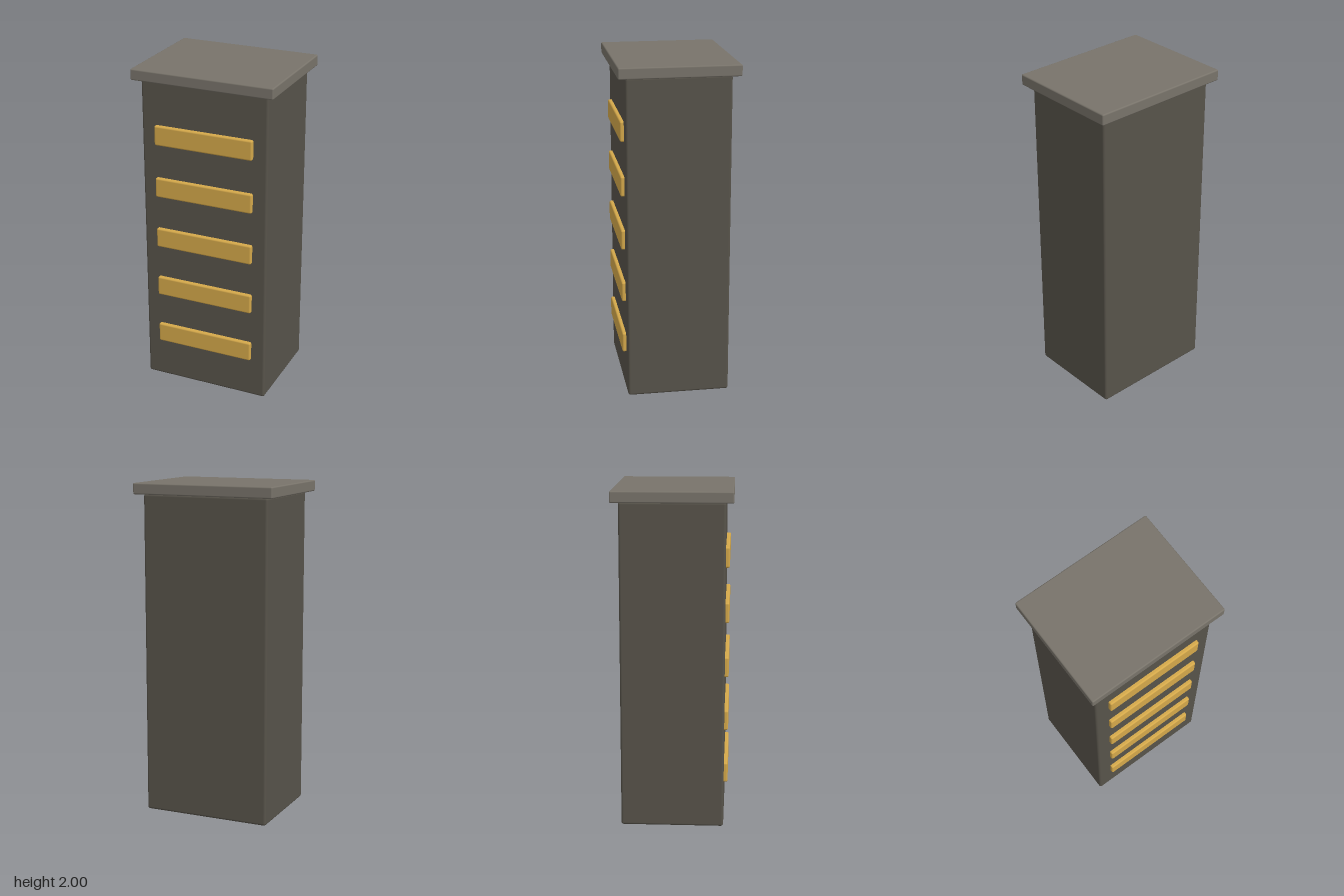
import * as THREE from 'three';
import { RoundedBoxGeometry } from 'three/addons/geometries/RoundedBoxGeometry.js';

function material(name, color) {
  const m = new THREE.MeshStandardMaterial({ color });
  m.name = name;
  return m;
}

export function createModel() {
  const group = new THREE.Group();
  group.name = 'slattedPillar';
  const darkStone = material('dark stone', 0x57534a);
  const lightStone = material('light stone', 0x78736a);
  const gold = material('gold', 0xd4a84a);

  // Softly rounded block standing on the height `bottom`
  function block(name, mat, w, h, d, r, bottom, z = 0) {
    const mesh = new THREE.Mesh(new RoundedBoxGeometry(w, h, d, 3, r), mat);
    mesh.name = name;
    mesh.position.set(0, bottom + h / 2, z);
    group.add(mesh);
  }

  // Pillar and overhanging cap
  block('body', darkStone, 0.785, 1.935, 0.61, 0.014, 0);
  block('cap', lightStone, 0.875, 0.066, 0.7, 0.008, 1.934);

  // Five evenly spaced slats, half sunk into the front
  for (let i = 0; i < 5; i++) {
    block('slat' + (i + 1), gold, 0.612, 0.12, 0.044, 0.01, 0.25 + i * 0.325, 0.306);
  }
  return group;
}
